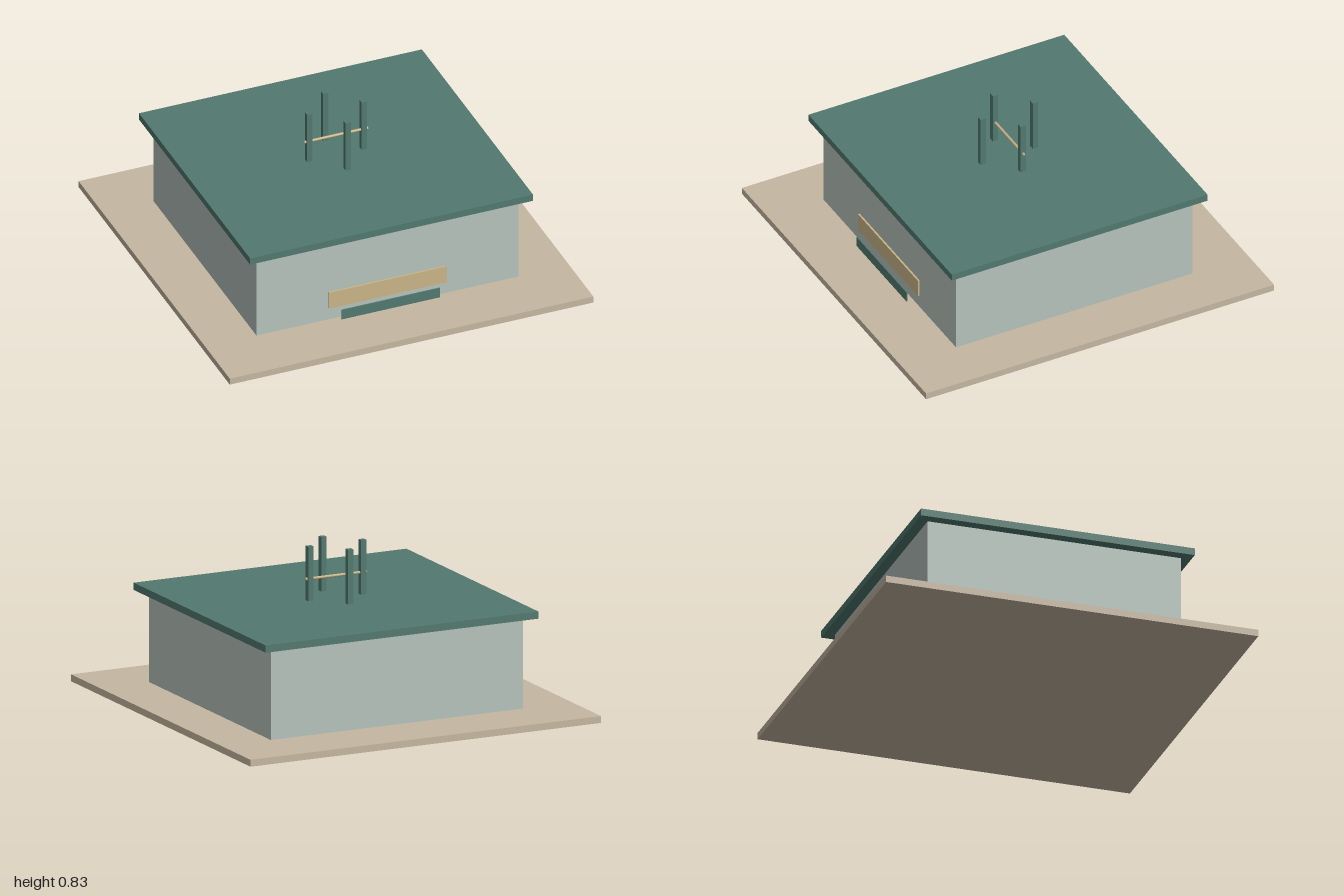
import * as THREE from 'three';

const mat = (name, color) => {
  const m = new THREE.MeshStandardMaterial({ color });
  m.name = name;
  return m;
};

export function createModel() {
  const green = mat('roof green', 0x52796f);
  const wall = mat('pale wall', 0xb5c2bb);
  const sand = mat('sand base', 0xc5b7a1);
  const tan = mat('tan wood', 0xc9b487);

  const model = new THREE.Group();
  model.name = 'pavilion';

  // box given by its size and centre
  const box = (name, material, [w, h, d], [x, y, z]) => {
    const mesh = new THREE.Mesh(new THREE.BoxGeometry(w, h, d), material);
    mesh.name = name;
    mesh.position.set(x, y, z);
    model.add(mesh);
    return mesh;
  };

  // base, walls and flat overhanging roof
  box('base', sand, [2, 0.036, 2], [0, 0.018, 0]);
  box('walls', wall, [1.44, 0.476, 1.36], [0, 0.274, 0]);
  box('roof', green, [1.556, 0.038, 1.47], [0, 0.531, 0]);

  // front board and the thin panel standing below it
  box('frontBoard', tan, [0.648, 0.096, 0.012], [0, 0.154, 0.684]);
  box('frontPanel', green, [0.54, 0.056, 0.006], [0, 0.078, 0.724]);

  // small blocks just under the eaves
  box('frontEaveBlock', green, [0.03, 0.024, 0.008], [0, 0.502, 0.68]);
  box('sideEaveBlock', green, [0.008, 0.024, 0.03], [0.72, 0.502, 0]);

  // four roof posts set in a cross
  for (let i = 0; i < 4; i++) {
    const a = (i * Math.PI) / 2;
    box('roofPost', green, [0.03, 0.295, 0.03],
      [0.15 * Math.cos(a), 0.6875, 0.15 * Math.sin(a)]);
  }

  // thin crossbar through the two side posts
  const bar = new THREE.Mesh(new THREE.CylinderGeometry(0.0075, 0.0075, 0.35, 8), tan);
  bar.name = 'crossbar';
  bar.rotation.z = Math.PI / 2;
  bar.position.y = 0.664;
  model.add(bar);

  return model;
}
